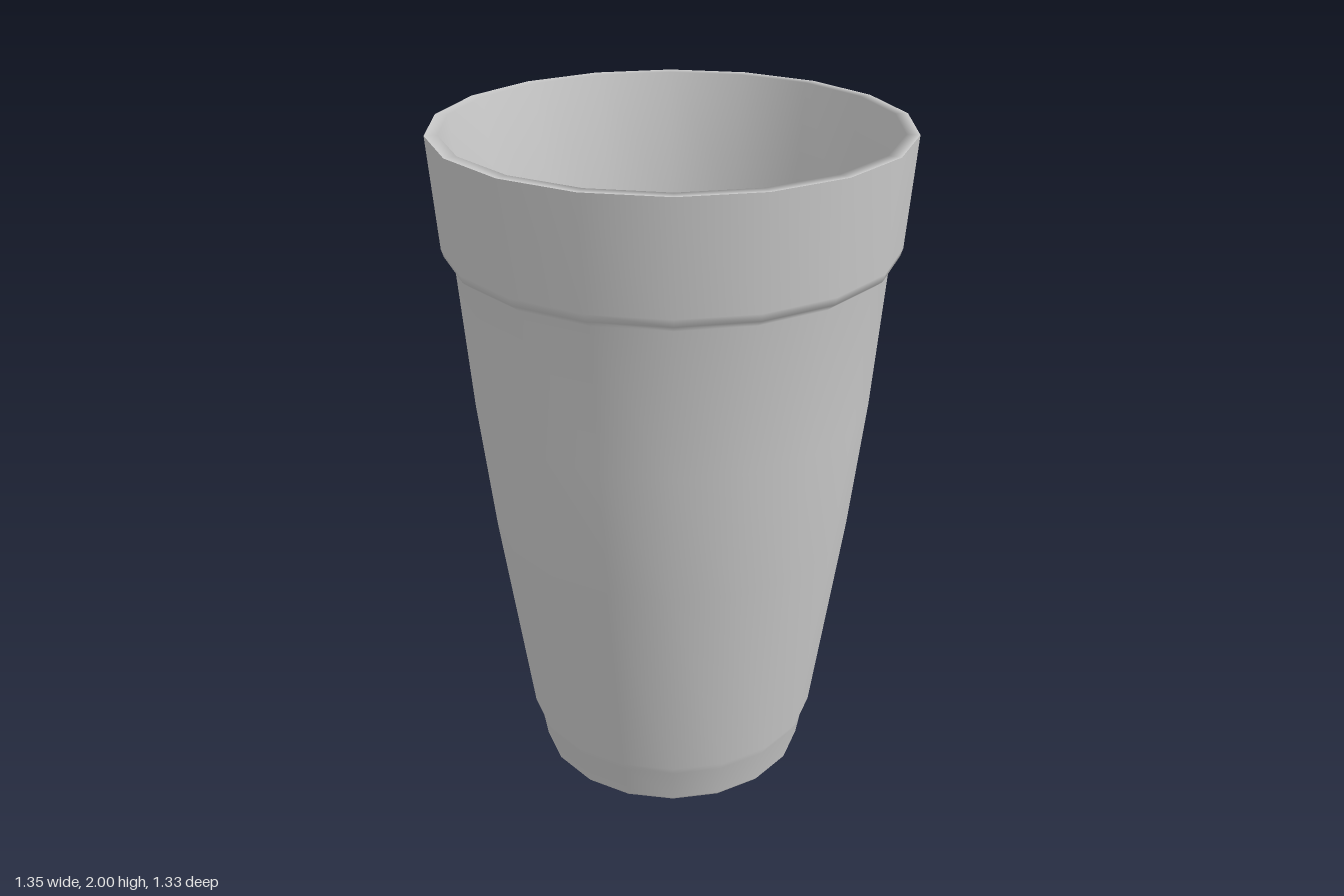
import * as THREE from 'three';

const SIDES = 18;
const material = new THREE.MeshStandardMaterial({ color: 0xcccccc });

// Revolve a [radius, height] profile, with a corner on the x axis
function revolve(name, profile) {
  const points = profile.map(([r, y]) => new THREE.Vector2(r, y));
  const mesh = new THREE.Mesh(new THREE.LatheGeometry(points, SIDES, Math.PI / 2), material);
  mesh.name = name;
  return mesh;
}

// Flat disc facing up or down
function disc(name, radius, y, up) {
  const mesh = new THREE.Mesh(new THREE.CircleGeometry(radius, SIDES), material);
  mesh.rotation.x = up ? -Math.PI / 2 : Math.PI / 2;
  mesh.position.y = y;
  mesh.name = name;
  return mesh;
}

export function createModel() {
  const cup = new THREE.Group();
  cup.name = 'cup';

  // Outside: stepped foot, gently bowed wall, thicker collar at the top
  cup.add(revolve('outerWall', [
    [0.402, 0], [0.41, 0.01], [0.428, 0.115], [0.445, 0.145],
    [0.537, 0.8], [0.582, 1.2], [0.617, 1.635],
    [0.645, 1.657], [0.652, 1.68], [0.677, 2],
  ]));

  // Flat lip running smoothly into the inside wall
  cup.add(revolve('lipAndInnerWall', [
    [0.677, 2], [0.64, 2], [0.592, 1.6], [0.548, 1.2], [0.502, 0.8], [0.37, 0.04],
  ]));

  cup.add(disc('innerFloor', 0.37, 0.04, true));
  cup.add(disc('base', 0.402, 0, false));
  return cup;
}
